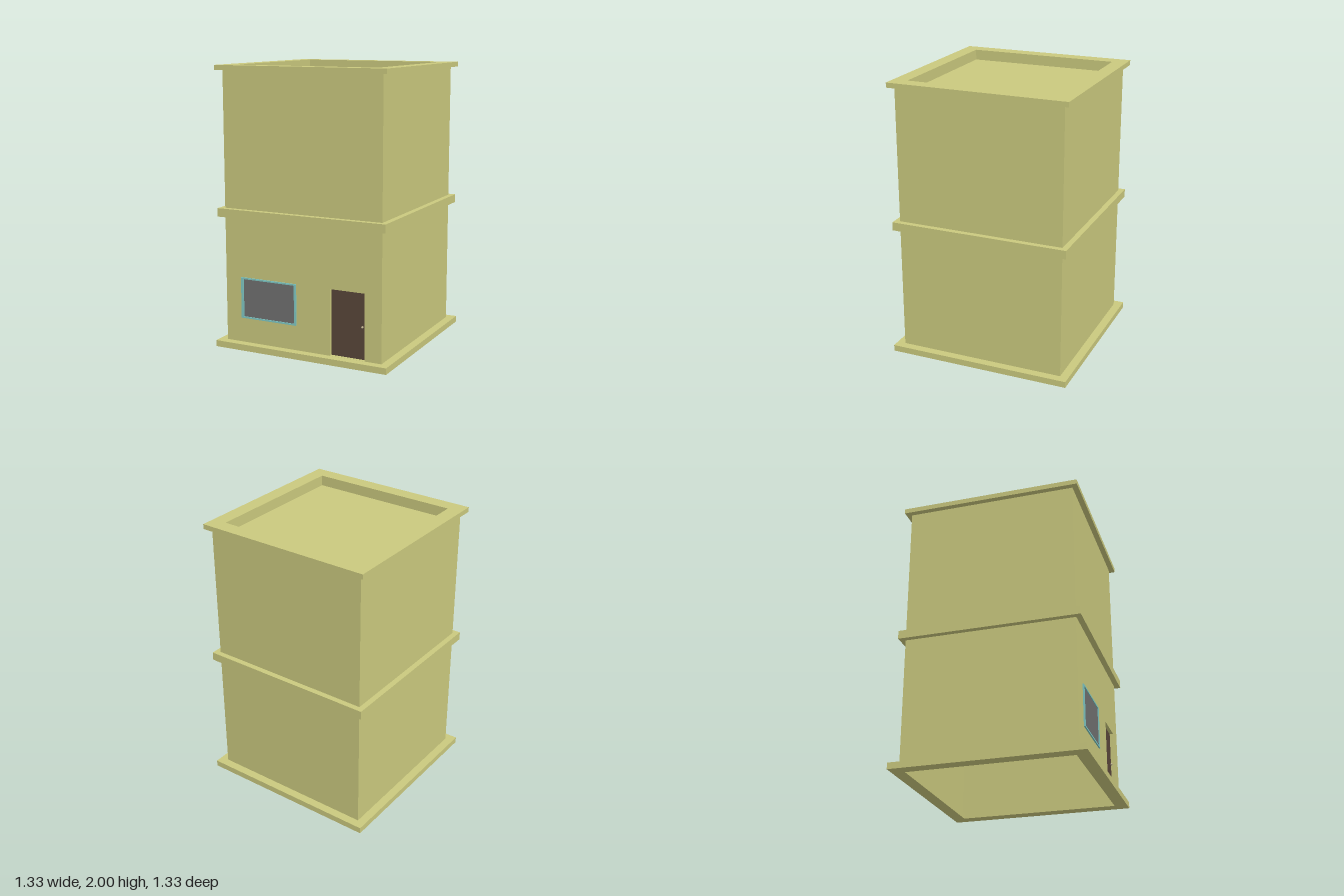
import * as THREE from 'three';

const mat = (name, color) => {
  const m = new THREE.MeshStandardMaterial({ color });
  m.name = name;
  return m;
};

// Rectangular outline, usable as a shape or as a hole
function rect(Type, x0, y0, x1, y1) {
  const p = new Type();
  p.moveTo(x0, y0);
  p.lineTo(x1, y0);
  p.lineTo(x1, y1);
  p.lineTo(x0, y1);
  p.closePath();
  return p;
}

// Flat panel with a rectangular hole, from z = 0 to z = depth
function panel(outer, hole, depth) {
  const shape = rect(THREE.Shape, ...outer);
  shape.holes.push(rect(THREE.Path, ...hole));
  return new THREE.ExtrudeGeometry(shape, { depth, bevelEnabled: false });
}

// Horizontal square ring between two heights
function ring(outer, inner, y0, y1) {
  const g = panel([-outer, -outer, outer, outer], [-inner, -inner, inner, inner], y1 - y0);
  return g.rotateX(-Math.PI / 2).translate(0, y0, 0);
}

function box(x0, x1, y0, y1, z0, z1) {
  return new THREE.BoxGeometry(x1 - x0, y1 - y0, z1 - z0)
    .translate((x0 + x1) / 2, (y0 + y1) / 2, (z0 + z1) / 2);
}

export function createModel() {
  const plaster = mat('plaster', 0xcac97e);
  const frameBlue = mat('window frame blue', 0x7fc8c4);
  const glassGrey = mat('glass grey', 0x707070);
  const doorBrown = mat('door brown', 0x59463a);
  const knobBeige = mat('knob beige', 0xc9bb98);

  const model = new THREE.Group();
  model.name = 'building';
  const add = (name, geometry, material) => {
    const mesh = new THREE.Mesh(geometry, material);
    mesh.name = name;
    model.add(mesh);
  };

  const W = 0.605, T = 0.008, base = 0.045, top = 1.97;
  const door = { x0: 0.22, x1: 0.48, y1: 0.515, z: 0.58 };

  // Projecting bands: open base, floor ledge and roof rim
  add('baseRing', ring(0.665, 0.575, 0, base), plaster);
  add('floorLedge', ring(0.645, W - T, 0.945, 1.005), plaster);
  add('roofRim', ring(0.645, 0.54, 1.965, 2), plaster);

  // Sunken roof
  add('roofParapet', ring(W - T, 0.54, 1.91, 1.965), plaster);
  add('roofFloor', box(-0.545, 0.545, 1.91, 1.925, -0.545, 0.545), plaster);

  // Thin walls around a hollow inside
  for (const s of [-1, 1]) {
    const g = box(W - T, W, base, top, -W, W);
    add(s > 0 ? 'leftWall' : 'rightWall', s > 0 ? g : g.rotateY(Math.PI), plaster);
  }
  for (const g of [box(-W, W, base, top, -W, T - W)]) add('backWall', g, plaster);
  add('frontWall', panel([-W, base, W, top],
    [door.x0, base + 0.0005, door.x1, door.y1], T).translate(0, 0, W - T), plaster);

  // Recessed door with its reveal
  const r = 0.006;
  add('doorReveal', box(door.x0 - r, door.x0, base, door.y1 + r, door.z, W - T), plaster);
  add('doorReveal', box(door.x1, door.x1 + r, base, door.y1 + r, door.z, W - T), plaster);
  add('doorReveal', box(door.x0, door.x1, door.y1, door.y1 + r, door.z, W - T), plaster);
  add('door', box(door.x0, door.x1, base, door.y1, door.z - 0.005, door.z), doorBrown);
  add('doorKnob', new THREE.SphereGeometry(0.008, 12, 8)
    .translate(0.455, 0.275, door.z + 0.008), knobBeige);

  // Window with a slim raised frame
  add('windowFrame', panel([-0.48, 0.223, -0.04, 0.518],
    [-0.46, 0.235, -0.055, 0.507], 0.009).translate(0, 0, W), frameBlue);
  add('windowGlass', box(-0.465, -0.05, 0.23, 0.51, W, W + 0.003), glassGrey);

  return model;
}
